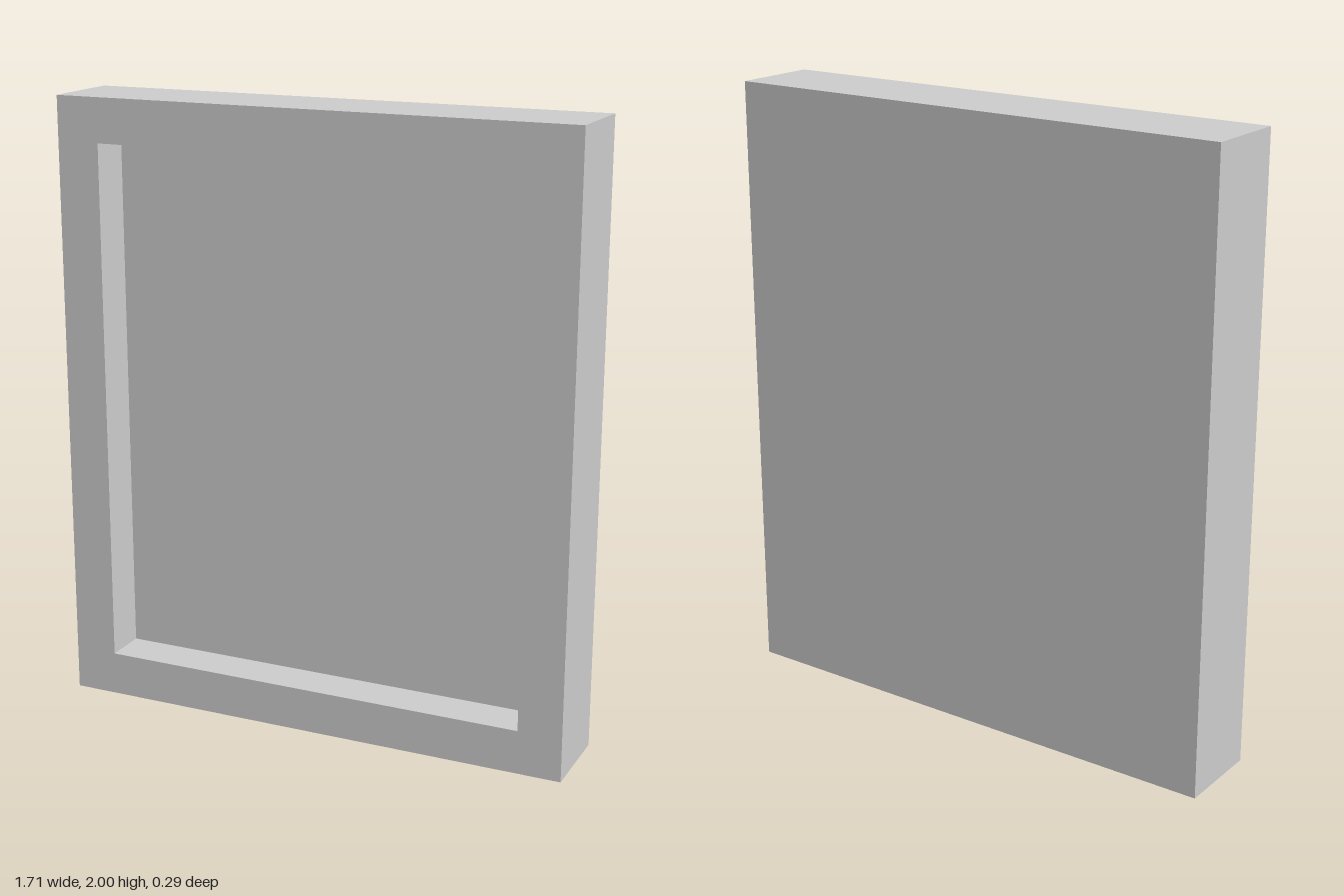
import * as THREE from 'three';

const UNIT = 1 / 7; // border width, and half of the total depth
const WIDTH = 12 * UNIT;
const HEIGHT = 14 * UNIT;

// Rectangle outline standing on y = 0, shrunk by an inset on every side
function rectangle(PathType, inset) {
  const x = WIDTH / 2 - inset;
  const top = HEIGHT - inset;
  return new PathType([
    new THREE.Vector2(-x, inset),
    new THREE.Vector2(x, inset),
    new THREE.Vector2(x, top),
    new THREE.Vector2(-x, top),
  ]);
}

export function createModel() {
  const group = new THREE.Group();
  group.name = 'framedPanel';
  const material = new THREE.MeshStandardMaterial({ color: 0xcccccc });

  // Raised border around the front recess
  const outline = rectangle(THREE.Shape, 0);
  outline.holes.push(rectangle(THREE.Path, UNIT));
  const frame = new THREE.Mesh(
    new THREE.ExtrudeGeometry(outline, { depth: UNIT, bevelEnabled: false }),
    material
  );
  frame.name = 'frame';

  // Solid back half, whose front face is the floor of the recess
  const panel = new THREE.Mesh(new THREE.BoxGeometry(WIDTH, HEIGHT, UNIT), material);
  panel.name = 'backPanel';
  panel.position.set(0, HEIGHT / 2, -UNIT / 2);

  group.add(frame, panel);
  return group;
}
